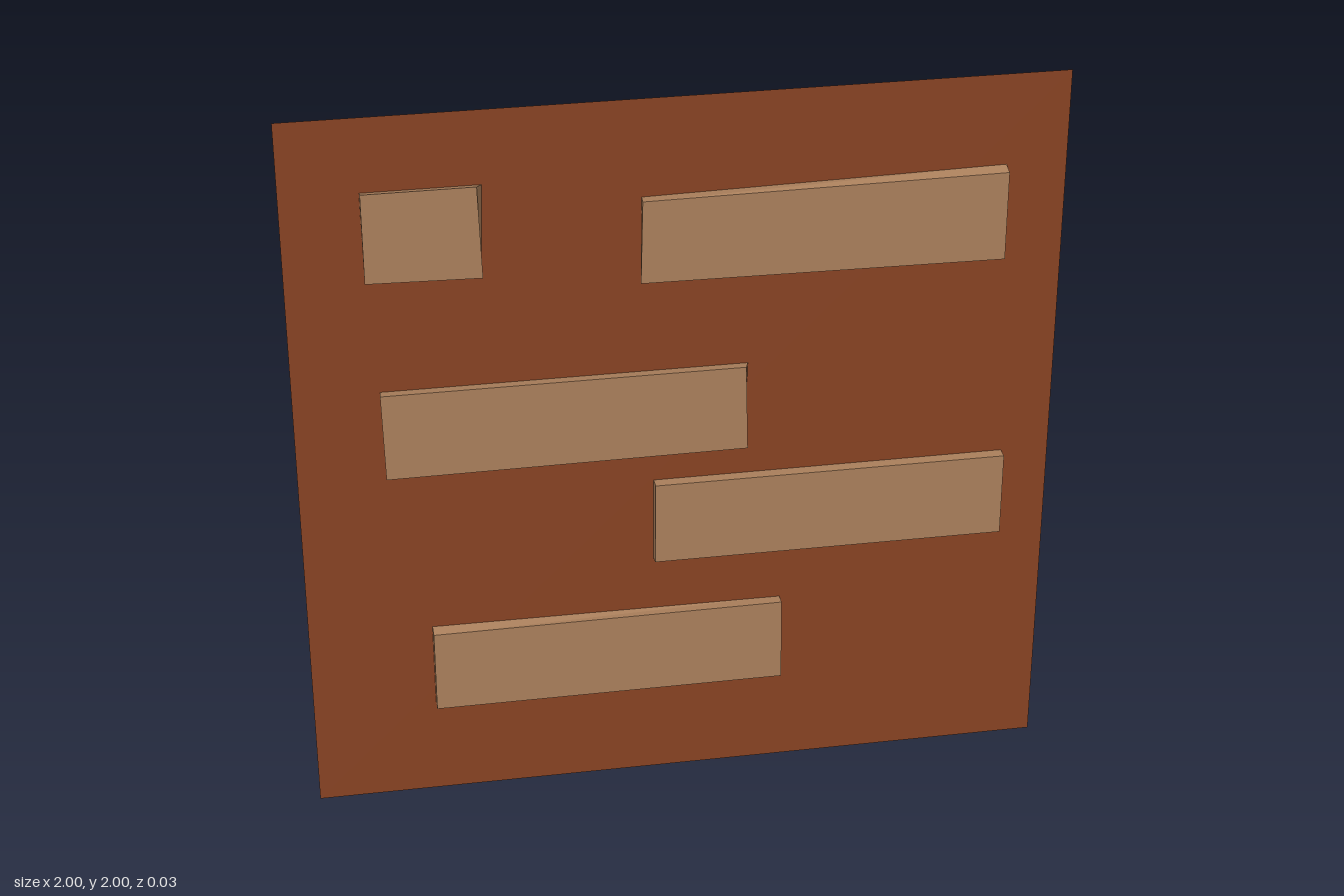
import * as THREE from 'three';

const HALF = 0.017; // half the total depth

// Open-backed block: front and back outlines (TL, TR, BR, BL) joined by four sides
function brickGeometry(front, back) {
  const f = front.map(([x, y]) => [x, y, HALF]);
  const b = back.map(([x, y]) => [x, y, -HALF]);
  const pos = [];
  const quad = (p, q, r, s) => pos.push(...p, ...q, ...r, ...p, ...r, ...s);
  quad(f[3], f[2], f[1], f[0]);
  for (let i = 0; i < 4; i++) {
    const j = (i + 1) % 4;
    quad(f[i], f[j], b[j], b[i]);
  }
  const geo = new THREE.BufferGeometry();
  geo.setAttribute('position', new THREE.Float32BufferAttribute(pos, 3));
  geo.computeVertexNormals();
  return geo;
}

export function createModel() {
  const group = new THREE.Group();
  group.name = 'brickWallPanel';

  const wallMaterial = new THREE.MeshStandardMaterial({ color: 0x884323, side: THREE.DoubleSide });
  wallMaterial.name = 'red brown';
  const brickMaterial = new THREE.MeshStandardMaterial({ color: 0xab805c });
  brickMaterial.name = 'light tan';

  // Flat backing sheet
  const wall = new THREE.Mesh(new THREE.PlaneGeometry(2, 2), wallMaterial);
  wall.name = 'wallSheet';
  wall.position.set(0, 1, -HALF);
  group.add(wall);

  // Slightly uneven raised bricks: front corners, then back corners
  const bricks = {
    topLeftHalfBrick: [
      [[-0.8, 1.81], [-0.513, 1.81], [-0.505, 1.56], [-0.8, 1.567]],
      [[-0.8, 1.8], [-0.497, 1.8], [-0.505, 1.562], [-0.798, 1.568]]],
    topRightBrick: [
      [[-0.1, 1.737], [0.842, 1.745], [0.842, 1.502], [-0.106, 1.511]],
      [[-0.098, 1.735], [0.842, 1.753], [0.842, 1.505], [-0.1, 1.502]]],
    upperMiddleBrick: [
      [[-0.778, 1.248], [0.168, 1.248], [0.174, 1.008], [-0.773, 1.004]],
      [[-0.775, 1.243], [0.178, 1.243], [0.172, 1.004], [-0.771, 1.007]]],
    lowerMiddleBrick: [
      [[-0.071, 0.917], [0.872, 0.917], [0.872, 0.681], [-0.073, 0.683]],
      [[-0.071, 0.916], [0.872, 0.917], [0.872, 0.682], [-0.073, 0.676]]],
    bottomBrick: [
      [[-0.671, 0.517], [0.273, 0.52], [0.275, 0.281], [-0.671, 0.281]],
      [[-0.671, 0.523], [0.273, 0.518], [0.275, 0.282], [-0.671, 0.282]]],
  };
  for (const [name, [front, back]] of Object.entries(bricks)) {
    const brick = new THREE.Mesh(brickGeometry(front, back), brickMaterial);
    brick.name = name;
    group.add(brick);
  }
  return group;
}
